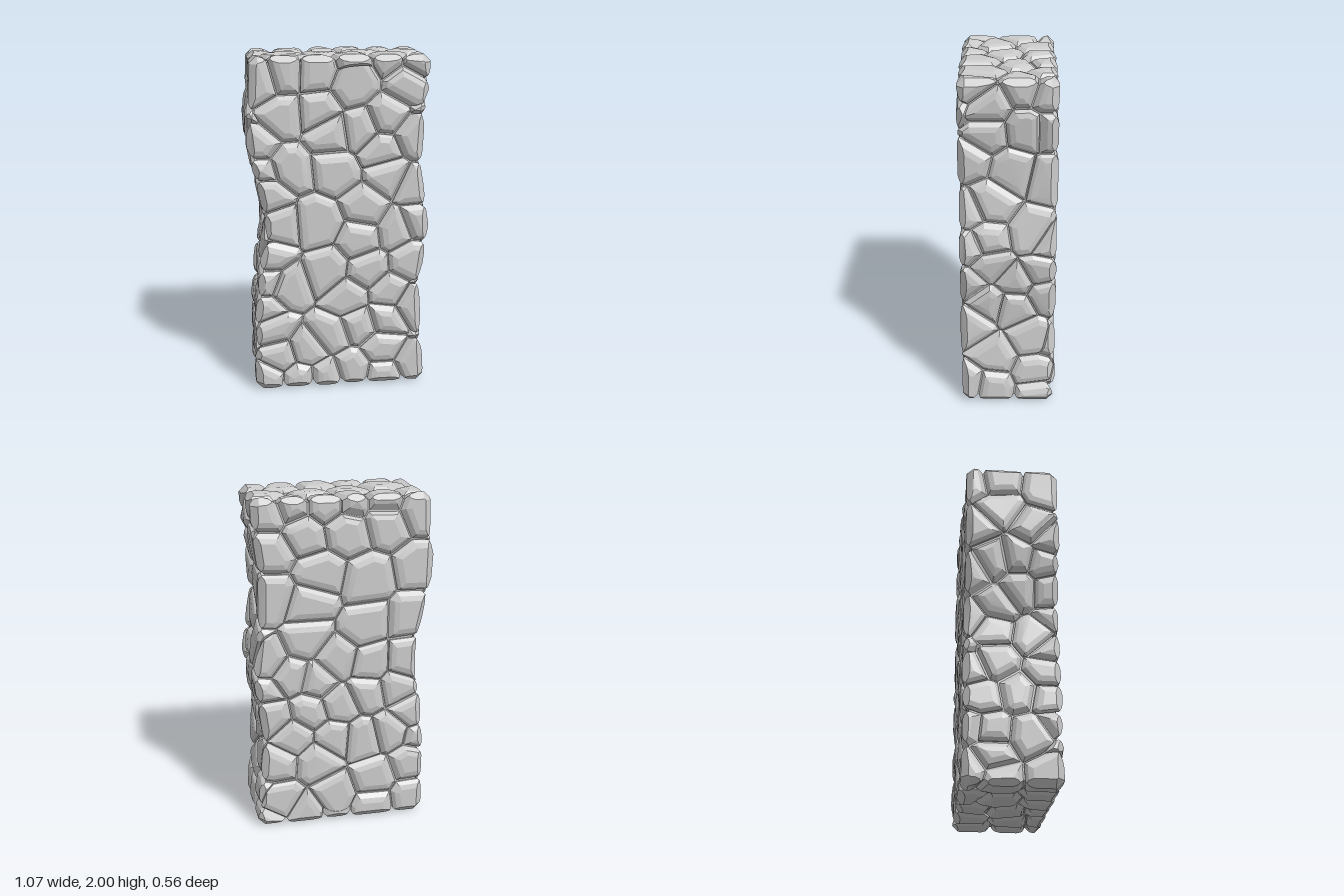
import * as THREE from 'three';
import { toCreasedNormals } from 'three/addons/utils/BufferGeometryUtils.js';
import { ConvexGeometry } from 'three/addons/geometries/ConvexGeometry.js';

const HALF = new THREE.Vector3(0.5, 1, 0.278); // half size before the ends are bowed
const ROUND = 0.07;                            // rounding of the block's edges
const DEPTH = 0.042;                           // depth of the mortar joints
const CORE = HALF.clone().subScalar(DEPTH);

// Stone centres on each side, as pairs
const FRONT = [ // x, y
  -0.31, 1.9, -0.13, 1.9, 0.08, 1.83, 0.4, 1.83, -0.33, 1.65, -0.13, 1.68, -0.49, 1.5,
  -0.29, 1.36, -0.03, 1.34, -0.06, 1.54, 0.12, 1.57, 0.27, 1.64, 0.24, 1.45, 0.29, 1.3,
  0.43, 1.53, 0.43, 1.22, -0.33, 1.02, -0.12, 1.03, 0.16, 1.1, 0.13, 0.92, 0.34, 0.97,
  0.47, 1.02, -0.3, 0.64, -0.42, 0.82, -0.08, 0.73, 0.17, 0.73, 0.3, 0.58, 0.05, 0.56,
  0.42, 0.78, 0.44, 0.5, -0.4, 0.38, -0.36, 0.2, -0.19, 0.24, -0.06, 0.33, 0.12, 0.38,
  0.28, 0.42, 0.27, 0.22, 0.44, 0.12, -0.43, 0.08, -0.08, 0.06, 0.08, 0.1, 0.28, 0.06, -0.24, 0.06,
  -0.46, 1.86, -0.44, 1.2,
];
const BACK = [ // x, y
  0.42, 1.7, 0.23, 1.78, -0.01, 1.79, -0.25, 1.82, -0.43, 1.88, 0.14, 1.55, 0.41, 1.43,
  -0.15, 1.5, 0.2, 1.38, -0.45, 1.57, 0.23, 1.17, -0.13, 1.23, -0.4, 1.28, 0.45, 1.05,
  -0.15, 0.99, 0.16, 0.9, -0.37, 1.0, 0.43, 0.71, 0.2, 0.72, 0.03, 0.75, -0.15, 0.81,
  -0.33, 0.82, 0.06, 0.54, -0.12, 0.52, -0.29, 0.55, 0.4, 0.4, 0.16, 0.4, -0.19, 0.25,
  0.06, 0.16, 0.4, 0.16, -0.42, 0.33, -0.43, 0.1, -0.18, 0.06, 0.22, 0.06, 0.32, 0.95,
  -0.4, 0.68, 0.3, 0.56, 0.04, 1.03, 0.43, 1.9, 0.1, 1.94,
];
const SIDE = [ // z, y
  0.12, 1.83, -0.15, 1.88, 0.12, 1.68, -0.1, 1.7, 0.16, 1.5, -0.03, 1.47, -0.2, 1.5,
  0.1, 1.27, -0.14, 1.1, 0.12, 1.06, 0.09, 0.9, -0.18, 0.87, 0.11, 0.65, -0.03, 0.62,
  -0.18, 0.65, -0.13, 0.42, 0.08, 0.3, -0.16, 0.2, 0.1, 0.1, 0.2, 0.76, -0.04, 0.8,
  -0.2, 1.32, 0.2, 0.45, -0.18, 0.06,
];
const TOP = [ // x, z
  -0.27, 0.1, 0.13, -0.06, 0.4, -0.09, 0.06, 0.16, 0.28, 0.15, -0.08, 0.02, -0.05, -0.17,
  0.12, -0.22, -0.25, -0.18, -0.43, -0.12, 0.28, -0.21, 0.44, 0.2,
];

// Outline of the bowed left and right ends, one value per 0.2 of height
const outline = (values) => {
  const curve = new THREE.SplineCurve(values.map((v, i) => new THREE.Vector2(v, i * 0.2)));
  return (y) => curve.getPoint(THREE.MathUtils.clamp(y / 2, 0, 1)).x;
};
const low = outline([-0.5, -0.505, -0.505, -0.485, -0.47, -0.44, -0.47, -0.515, -0.54, -0.515, -0.51]);
const high = outline([0.53, 0.52, 0.5, 0.49, 0.515, 0.535, 0.51, 0.49, 0.5, 0.525, 0.53]);

// Move straight-sided geometry onto the bowed outline and stand it on the ground
function bow(geo) {
  const pos = geo.attributes.position;
  for (let i = 0; i < pos.count; i++) {
    const y = pos.getY(i) + 1;
    pos.setXYZ(i, THREE.MathUtils.lerp(low(y), high(y), pos.getX(i) + 0.5), y, pos.getZ(i));
  }
  geo.computeVertexNormals();
  return geo;
}

function seeded(seed) {
  return () => {
    seed = (seed * 16807) % 2147483647;
    return seed / 2147483647;
  };
}

// Collect the centres of all stones; those near a block edge sit deeper and wrap it
function makeCentres() {
  const centres = [];
  const add = (...xyz) => {
    const p = new THREE.Vector3(...xyz);
    const margin = HALF.toArray().map((h, i) => h - Math.abs(xyz[i]));
    const onEdge = margin.filter((m) => m < 0.11).length > 1;
    const sink = onEdge ? 0.06 : 0.04;
    const limit = HALF.clone().subScalar(sink);
    p.clamp(limit.clone().negate(), limit);
    if (centres.every((c) => c.distanceTo(p) > (onEdge ? 0.12 : 0.1))) centres.push(p);
  };
  const each = (list, fn) => {
    for (let i = 0; i < list.length; i += 2) fn(list[i], list[i + 1]);
  };
  const unbow = (x, y) => (x - low(y)) / (high(y) - low(y)) - 0.5;
  each(FRONT, (x, y) => add(unbow(x, y), y - 1, HALF.z));
  each(BACK, (x, y) => add(unbow(x, y), y - 1, -HALF.z));
  each(TOP, (x, z) => add(x, HALF.y, z));
  each(SIDE, (z, y) => add(HALF.x, y - 1, z));
  each(SIDE, (z, y) => add(-HALF.x, 1 - y, -z));
  each(TOP, (x, z) => add(-x, -HALF.y, z));
  return centres;
}

// Faces, edges and corners of the block as unit directions
const DIRECTIONS = [];
for (const x of [-1, 0, 1]) for (const y of [-1, 0, 1]) for (const z of [-1, 0, 1]) {
  if (x || y || z) DIRECTIONS.push(new THREE.Vector3(x, y, z).normalize());
}
const support = (n, size) => Math.abs(n.x) * size.x + Math.abs(n.y) * size.y + Math.abs(n.z) * size.z;

// The planes that bound one stone; the stone lies where n.p <= d
function stonePlanes(centre, centres, rand) {
  const planes = [];
  const inner = HALF.clone().subScalar(ROUND);
  const sunk = rand() * 0.008;
  const bevel = 0.024 + rand() * 0.014;
  const faces = [];
  for (const n of DIRECTIONS) {
    const d = support(n, inner) + ROUND - sunk;
    const isFace = Math.abs(n.x) + Math.abs(n.y) + Math.abs(n.z) < 1.1;
    planes.push({ n, d });
    if (isFace && d - n.dot(centre) < 0.15) faces.push({ n, d });
    if (isFace) planes.push({ n, d: n.dot(centre) + 0.5 });
  }
  for (const other of centres) {
    const gap = other.distanceTo(centre);
    if (other === centre || gap > 0.75) continue;
    const n = other.clone().sub(centre).normalize();
    const d = n.dot(centre) + gap / 2 - 0.004;
    planes.push({ n, d });
    for (const face of faces) {
      if (Math.abs(n.dot(face.n)) > 0.5) continue;
      // a steep bevel into the joint and a soft one around the flat top
      for (const [k, inset] of [[1, bevel], [3.2, bevel + 0.02]]) {
        planes.push({ n: n.clone().addScaledVector(face.n, k), d: d + face.d * k - inset });
      }
    }
  }
  return planes;
}

// Corners of the solid cut out by the planes, found as faces of the dual hull
function solidCorners(planes, o) {
  const dual = new ConvexGeometry(planes
    .filter(({ n, d }) => d - n.dot(o) > 1e-3)
    .map(({ n, d }) => n.clone().divideScalar(d - n.dot(o))));
  const { position, normal } = dual.attributes;
  const corners = [];
  const a = new THREE.Vector3(), m = new THREE.Vector3();
  for (let i = 0; i < position.count; i += 3) {
    a.fromBufferAttribute(position, i);
    m.fromBufferAttribute(normal, i);
    const v = m.clone().divideScalar(m.dot(a)).add(o);
    const valid = planes.every(({ n, d }) => n.dot(v) <= d + 1e-3);
    if (valid && corners.every((c) => c.distanceTo(v) > 0.004)) corners.push(v);
  }
  return corners;
}

// One faceted stone, without the triangles buried in the core
function stoneGeometry(corners) {
  const src = new ConvexGeometry(corners).attributes.position;
  const p = new THREE.Vector3();
  const kept = [];
  for (let i = 0; i < src.count; i += 3) {
    const tri = [];
    let buried = true;
    for (let k = 0; k < 3; k++) {
      p.fromBufferAttribute(src, i + k);
      tri.push(p.x, p.y, p.z);
      if (Math.abs(p.x) > CORE.x || Math.abs(p.y) > CORE.y || Math.abs(p.z) > CORE.z) buried = false;
    }
    if (!buried) kept.push(...tri);
  }
  const geo = new THREE.BufferGeometry();
  geo.setAttribute('position', new THREE.Float32BufferAttribute(kept, 3));
  return toCreasedNormals(bow(geo), 0.2);
}

export function createModel() {
  const group = new THREE.Group();
  group.name = 'stoneWall';
  const material = new THREE.MeshStandardMaterial({ color: 0xcccccc });
  const add = (geo, name) => {
    const mesh = new THREE.Mesh(geo, material);
    mesh.name = name;
    group.add(mesh);
  };

  // mortar core seen at the bottom of the joints
  add(bow(new THREE.BoxGeometry(CORE.x * 2, CORE.y * 2, CORE.z * 2, 4, 40, 2)), 'mortarCore');

  const rand = seeded(4217);
  const centres = makeCentres();
  for (const centre of centres) {
    const corners = solidCorners(stonePlanes(centre, centres, rand), centre);
    if (corners.length > 3) add(stoneGeometry(corners), 'stone');
  }
  return group;
}
